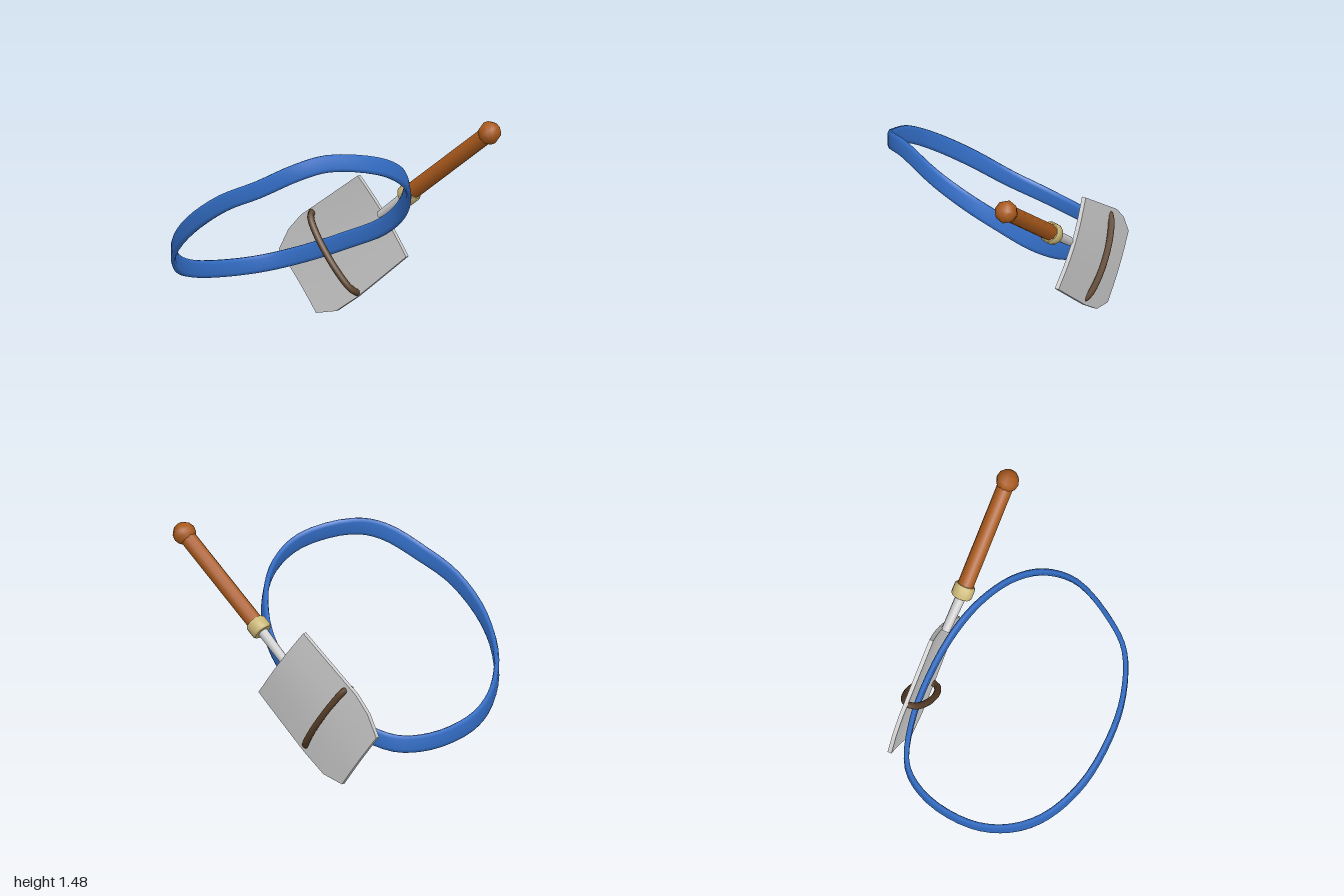
import * as THREE from 'three';
import { mergeVertices, toCreasedNormals } from 'three/addons/utils/BufferGeometryUtils.js';

const V = (x, y, z) => new THREE.Vector3(x, y, z);
const paint = (color) => new THREE.MeshStandardMaterial({ color });
const METAL = paint(0xcccccc), WOOD = paint(0xa8591c), BRASS = paint(0xccb878);
const LEATHER = paint(0x5c422b), BLUE = paint(0x346fc8);

function part(group, name, geometry, material) {
  const mesh = new THREE.Mesh(geometry, material);
  mesh.name = name;
  group.add(mesh);
  return mesh;
}

// Skin a list of equal rings; either joined into a loop or capped at both ends
function loft(rings, loop) {
  const n = rings[0].length, index = [];
  const quad = (a, b, c, d) => index.push(a, b, c, a, c, d);
  const last = loop ? rings.length : rings.length - 1;
  for (let i = 0; i < last; i++) {
    const a = i * n, b = ((i + 1) % rings.length) * n;
    for (let j = 0; j < n; j++) {
      const k = (j + 1) % n;
      quad(a + j, a + k, b + k, b + j);
    }
  }
  if (!loop) {
    const e = (rings.length - 1) * n;
    for (let j = 0; j < n / 2 - 1; j++) {
      quad(n - 1 - j, n - 2 - j, j + 1, j);
      quad(e + j, e + j + 1, e + n - 2 - j, e + n - 1 - j);
    }
  }
  const g = new THREE.BufferGeometry().setFromPoints(rings.flat());
  g.setIndex(index);
  g.computeVertexNormals();
  return g;
}

// Blade: paired left and right outline points, bowed backwards across its width
function bladeGeometry() {
  const left = [[-0.15, 0.97], [-0.43, 0.77], [-0.605, 0.645], [-0.705, 0.535], [-0.78, 0.39]];
  const right = [[0.24, 0.48], [0.01, 0.29], [-0.155, 0.155], [-0.32, 0.04], [-0.48, 0.005]];
  const cols = 8;
  const rings = left.map((l, i) => {
    const r = right[i], front = [], back = [];
    const bow = 0.022 * (1 - 0.15 * i), base = -0.65 + 0.002 * i;
    for (let j = 0; j <= cols; j++) {
      const t = j / cols, x = r[0] + (l[0] - r[0]) * t, y = r[1] + (l[1] - r[1]) * t;
      const z = base - bow * Math.sin(Math.PI * t);
      front.push(V(x, y, z + 0.014));
      back.unshift(V(x, y, z - 0.014));
    }
    return [...front, ...back];
  });
  return toCreasedNormals(loft(rings, false), 0.7);
}

// Belt: rounded flat section swept round a tilted closed path
function beltGeometry() {
  const path = new THREE.CatmullRomCurve3([
    [-0.98, 0.36, 0.04], [-0.93, 0.31, -0.29], [-0.8, 0.32, -0.5], [-0.55, 0.4, -0.6],
    [-0.23, 0.53, -0.625], [0.08, 0.67, -0.59], [0.3, 0.83, -0.5], [0.465, 1.02, -0.345],
    [0.545, 1.16, -0.16], [0.535, 1.27, 0.08], [0.37, 1.325, 0.4], [0.24, 1.28, 0.56],
    [0, 1.15, 0.67], [-0.26, 1.03, 0.7], [-0.56, 0.83, 0.65], [-0.8, 0.62, 0.5],
    [-0.93, 0.455, 0.29],
  ].map((p) => V(...p)), true);
  const section = [[0.017, -0.035], [0.017, 0.035], [0.008, 0.057], [-0.008, 0.057],
    [-0.017, 0.035], [-0.017, -0.035], [-0.008, -0.057], [0.008, -0.057]];
  const rings = [], steps = 68;
  for (let i = 0; i < steps; i++) {
    const p = path.getPoint(i / steps), t = path.getTangent(i / steps);
    let side = V(0, 1, 0).cross(t).normalize();
    // the top edge leans inwards on the left part of the loop
    const lean = 0.22 * THREE.MathUtils.smoothstep(p.x, 0.1, 0.45);
    const up = t.clone().cross(side).addScaledVector(side, -lean).normalize();
    side = up.clone().cross(t).normalize();
    rings.push(section.map(([s, u]) => p.clone().addScaledVector(side, s).addScaledVector(up, u)));
  }
  return loft(rings, true);
}

export function createModel() {
  const model = new THREE.Group();
  model.name = 'shovelOnBelt';

  part(model, 'belt', beltGeometry(), BLUE);

  const shovel = new THREE.Group();
  shovel.name = 'shovel';
  model.add(shovel);
  part(shovel, 'blade', bladeGeometry(), METAL);

  // Shaft parts stand along y of a group tilted onto the shovel axis, origin at the ferrule
  const shaft = new THREE.Group();
  shaft.name = 'shaft';
  shaft.position.set(0.27, 0.912, -0.627);
  shaft.rotation.z = THREE.MathUtils.degToRad(37.5 - 90);
  shovel.add(shaft);

  const socket = part(shaft, 'socket', new THREE.CylinderGeometry(0.036, 0.03, 0.3, 10), METAL);
  socket.position.set(0, -0.15, -0.004);
  socket.rotation.x = 0.04;

  const ferruleProfile = [[0.03, -0.046], [0.062, -0.046], [0.072, -0.032], [0.072, 0.032],
    [0.062, 0.046], [0.03, 0.046]].map(([r, y]) => new THREE.Vector2(r, y));
  part(shaft, 'ferrule', toCreasedNormals(new THREE.LatheGeometry(ferruleProfile, 12), 0.9), BRASS);

  const handle = part(shaft, 'handle', new THREE.CylinderGeometry(0.055, 0.055, 0.78, 10), WOOD);
  handle.position.y = 0.41;
  const knob = part(shaft, 'knob', new THREE.SphereGeometry(0.078, 8, 6), WOOD);
  knob.position.y = 0.818;

  // Holding loop wrapped round the blade and the belt
  const loopPath = new THREE.CatmullRomCurve3(Array.from({ length: 12 }, (_, i) => {
    const a = (i / 12) * Math.PI * 2;
    return V(0.305 * Math.cos(a), 0, 0.08 * Math.sin(a));
  }), true);
  const loop = part(model, 'holdingLoop',
    mergeVertices(new THREE.TubeGeometry(loopPath, 32, 0.023, 8, true)), LEATHER);
  loop.position.set(-0.337, 0.43, -0.632);
  loop.rotation.z = -Math.atan2(0.51, 0.385);

  return model;
}
